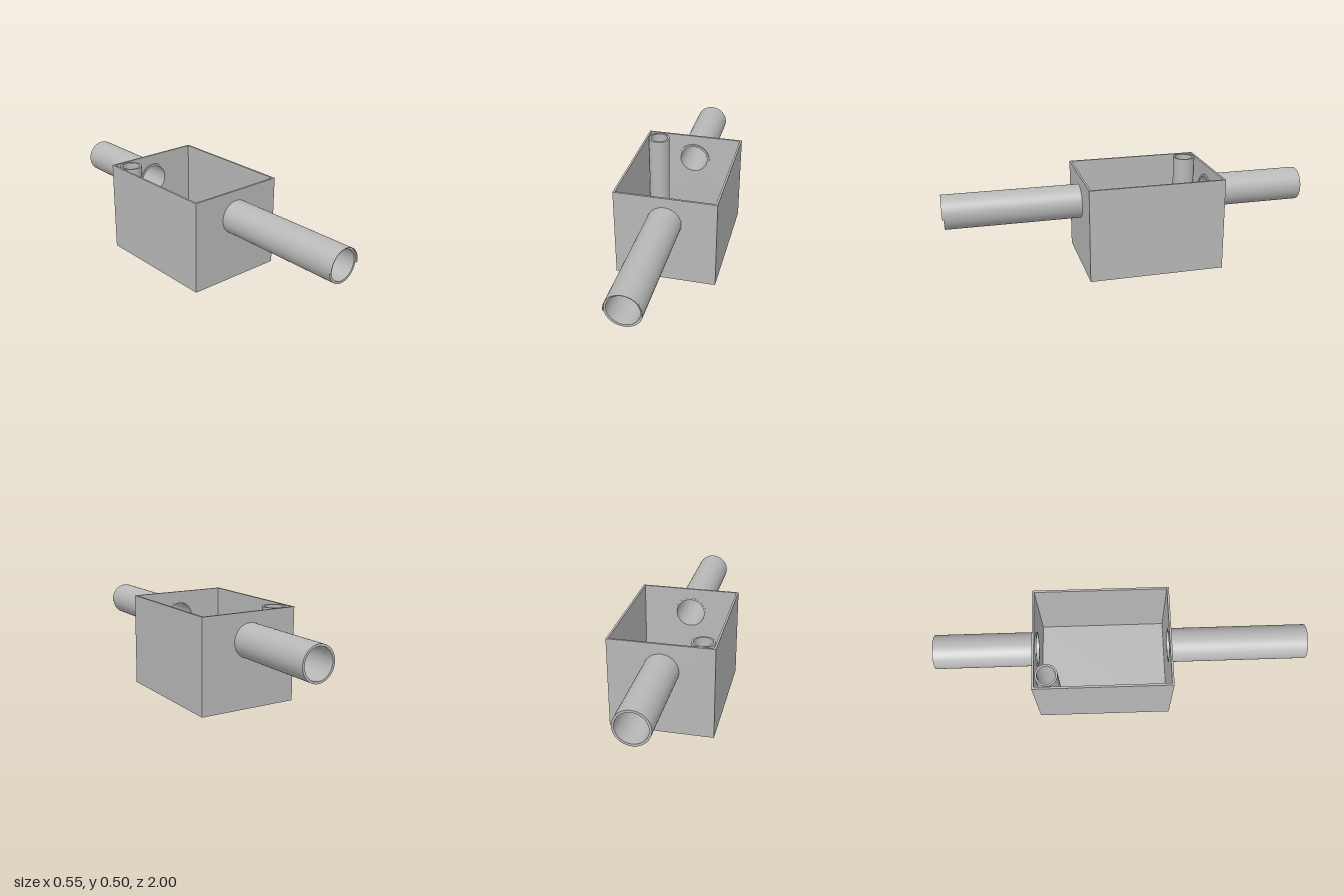
import * as THREE from 'three';
import { mergeGeometries } from 'three/addons/utils/BufferGeometryUtils.js';

const HALF_W = 0.277, HEIGHT = 0.505, BACK = -0.465, FRONT = 0.27, WALL = 0.011;
const PIPE_X = -0.003, PIPE_Y = 0.358, PIPE_R = 0.092, PIPE_IN = 0.08;

// Hollow tube along y with crisp rims: one lathe strip per profile edge
function tubeGeometry(outer, inner, from, to, phiStart = 0, phiLength = Math.PI * 2) {
  const p = [[outer, from], [outer, to], [inner, to], [inner, from]].map(([r, y]) => new THREE.Vector2(r, y));
  return mergeGeometries(p.map((a, i) =>
    new THREE.LatheGeometry([a, p[(i + 1) % 4]], 64, phiStart, phiLength)));
}

export function createModel() {
  const gray = new THREE.MeshStandardMaterial({ color: 0xb8b8b8 });
  gray.name = 'plain gray';
  const model = new THREE.Group();
  model.name = 'boxWithPipes';

  function add(name, geometry, x = 0, y = 0, z = 0) {
    const mesh = new THREE.Mesh(geometry, gray);
    mesh.name = name;
    mesh.position.set(x, y, z);
    model.add(mesh);
  }

  // End walls, each pierced for a pipe
  const panel = new THREE.Shape([[-HALF_W, 0], [HALF_W, 0], [HALF_W, HEIGHT], [-HALF_W, HEIGHT]]
    .map(([x, y]) => new THREE.Vector2(x, y)));
  panel.holes.push(new THREE.Path().absarc(PIPE_X, PIPE_Y, PIPE_R - 0.003, 0, Math.PI * 2, true));
  const endWall = new THREE.ExtrudeGeometry(panel, { depth: WALL, bevelEnabled: false, curveSegments: 48 });
  add('frontWall', endWall, 0, 0, FRONT - WALL);
  add('backWall', endWall, 0, 0, BACK);

  // Side walls and floor fit between the end walls
  const depth = FRONT - BACK - 2 * WALL, midZ = (FRONT + BACK) / 2;
  for (const [name, side] of [['leftWall', 1], ['rightWall', -1]]) {
    add(name, new THREE.BoxGeometry(WALL, HEIGHT, depth), side * (HALF_W - WALL / 2), HEIGHT / 2, midZ);
  }
  add('floor', new THREE.BoxGeometry(2 * (HALF_W - WALL), WALL, depth), 0, WALL / 2, midZ);

  // Horizontal pipes; the back one pokes slightly into the box
  const lying = (...args) => tubeGeometry(...args).rotateX(Math.PI / 2);
  add('frontPipe', lying(PIPE_R, PIPE_IN, FRONT - WALL - 0.001, 0.99), PIPE_X, PIPE_Y);
  add('backPipe', lying(PIPE_R, PIPE_IN, -1, -0.447), PIPE_X, PIPE_Y);

  // Thin lip over the upper half of the front pipe's mouth
  add('frontPipeLip', lying(PIPE_R, PIPE_R - 0.003, 0.99, 1, Math.PI / 2 - 0.13, Math.PI + 0.26), PIPE_X, PIPE_Y);

  // Upright pipe in the back right corner
  add('uprightPipe', tubeGeometry(0.06, 0.049, WALL, HEIGHT - 0.002), -0.202, 0, -0.39);

  return model;
}
